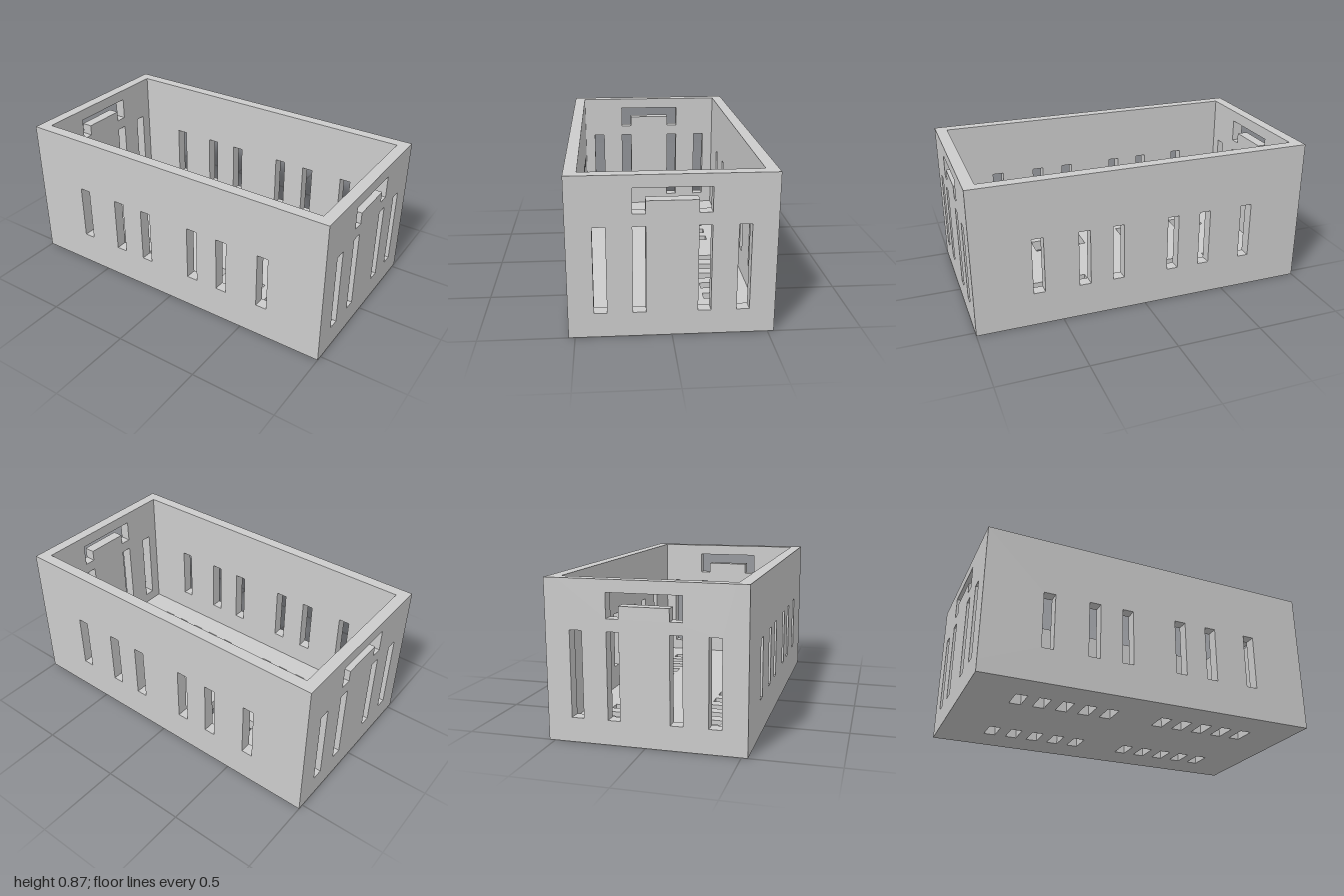
import * as THREE from 'three';

const U = 1 / 15; // grid module: wall thickness and slot width

const outline = (Type, points) => new Type(points.map(([x, y]) => new THREE.Vector2(x * U, y * U)));
const rect = (Type, x0, y0, x1, y1) => outline(Type, [[x0, y0], [x1, y0], [x1, y1], [x0, y1]]);

// Flat panel one module thick, centred on its own thickness
function panel(x0, y0, x1, y1, holes) {
  const shape = rect(THREE.Shape, x0, y0, x1, y1);
  shape.holes.push(...holes);
  const geometry = new THREE.ExtrudeGeometry(shape, { depth: U, bevelEnabled: false });
  return geometry.translate(0, 0, -U / 2);
}

export function createModel() {
  const group = new THREE.Group();
  const material = new THREE.MeshStandardMaterial({ color: 0xcccccc });
  const add = (name, geometry, x, y, z) => {
    const mesh = new THREE.Mesh(geometry, material);
    mesh.name = name;
    mesh.position.set(x * U, y * U, z * U);
    group.add(mesh);
  };

  // Floor with four groups of drain slots
  const floorSlots = [];
  for (const z of [-5, 3]) {
    for (const start of [-11, 2]) {
      for (let i = 0; i < 5; i++) {
        const x = start + 2 * i;
        floorSlots.push(rect(THREE.Path, x, z, x + 1, z + 2));
      }
    }
  }
  add('floor', panel(-15, -8, 15, 8, floorSlots).rotateX(-Math.PI / 2), 0, 0.5, 0);

  // Long walls with six upright slots each
  const longSlots = [-10, -6, -3, 2, 5, 9].map((x) => rect(THREE.Path, x, 3, x + 1, 8));
  const longWall = panel(-15, 1, 15, 13, longSlots);
  add('frontWall', longWall, 0, 0, 7.5);
  add('backWall', longWall, 0, 0, -7.5);

  // End walls with four upright slots and a bracket-shaped hand hold
  const endHoles = [-6, -3, 2, 5].map((z) => rect(THREE.Path, z, 2, z + 1, 9));
  endHoles.push(outline(THREE.Path, [
    [-3, 10], [-2, 10], [-2, 11], [2, 11], [2, 10], [3, 10], [3, 12], [-3, 12],
  ]));
  const endWall = panel(-7, 1, 7, 13, endHoles).rotateY(Math.PI / 2);
  add('leftWall', endWall, 14.5, 0, 0);
  add('rightWall', endWall, -14.5, 0, 0);

  return group;
}
